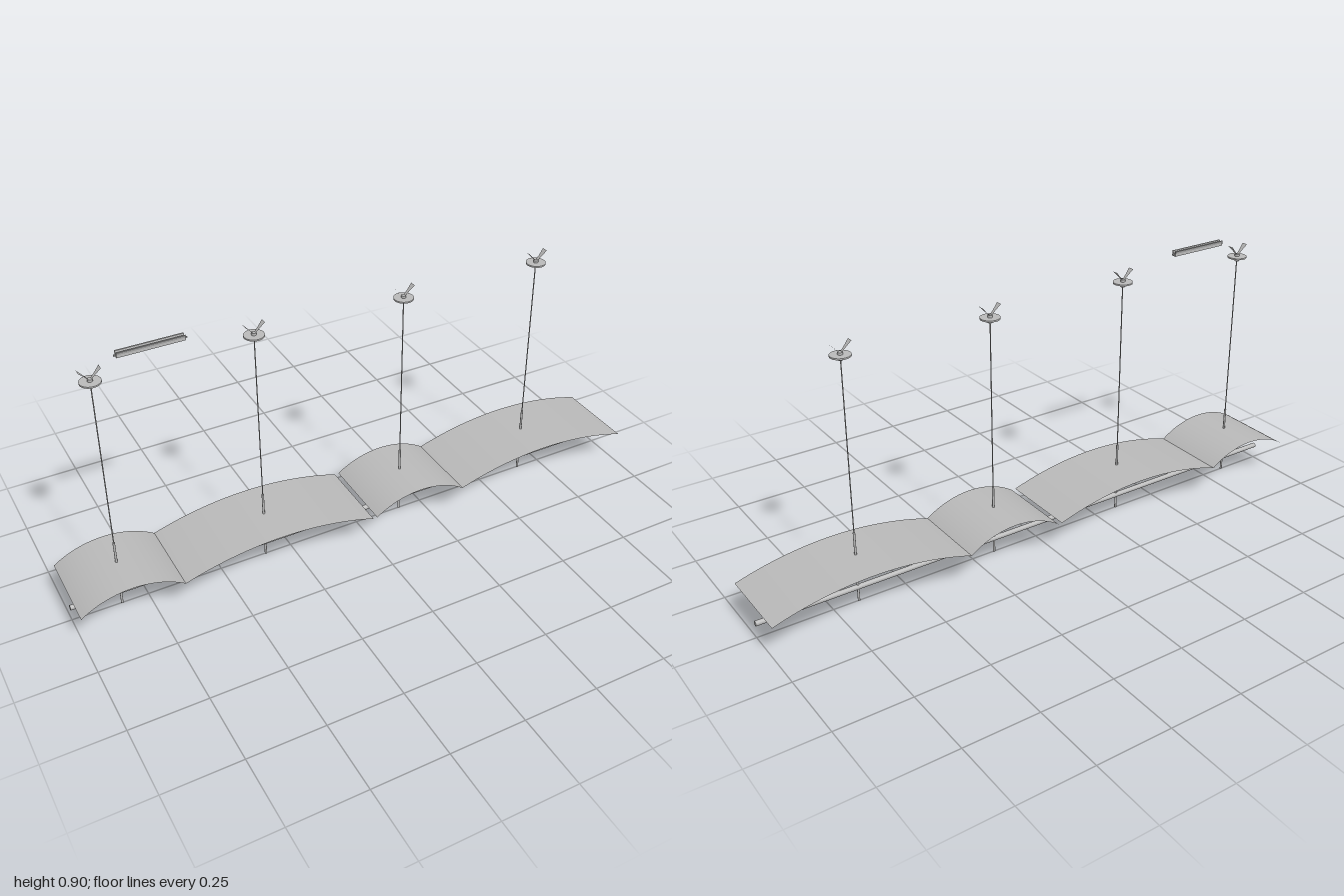
import * as THREE from 'three';

export function createModel() {
  const model = new THREE.Group();
  const metal = new THREE.MeshStandardMaterial({ color: 0xbababa });
  metal.name = 'brushed grey';
  metal.side = THREE.DoubleSide;

  function add(parent, name, geometry, x = 0, y = 0, z = 0) {
    const mesh = new THREE.Mesh(geometry, metal);
    mesh.name = name;
    mesh.position.set(x, y, z);
    parent.add(mesh);
    return mesh;
  }
  const cylinder = (r, h, sides = 16) => new THREE.CylinderGeometry(r, r, h, sides);

  // Open sheet bent into a shallow circular arc along x
  function archedSheet(x0, x1) {
    const low = 0.115, rise = 0.053, half = (x1 - x0) / 2;
    const radius = (half * half + rise * rise) / (2 * rise);
    const g = new THREE.PlaneGeometry(2 * half, 0.274, 32, 1);
    g.rotateX(-Math.PI / 2);
    const p = g.attributes.position;
    for (let i = 0; i < p.count; i++) {
      const x = p.getX(i);
      p.setY(i, low + rise - radius + Math.sqrt(radius * radius - x * x));
    }
    g.translate((x0 + x1) / 2, 0, 0);
    g.computeVertexNormals();
    return g;
  }
  [[-1, -0.668], [-0.668, -0.01], [0.004, 0.335], [0.335, 1]].forEach(
    ([a, b]) => add(model, 'archedPanel', archedSheet(a, b)));

  // Long rail under the panels
  add(model, 'rail', cylinder(0.0085, 2, 20).rotateZ(Math.PI / 2), 0, 0.05, 0);

  // Flared wing, drawn flat and then tilted outwards
  const wing = new THREE.Shape();
  wing.moveTo(0.004, -0.005);
  wing.lineTo(0.022, -0.006);
  wing.lineTo(0.048, -0.0105);
  wing.lineTo(0.048, 0.0105);
  wing.lineTo(0.022, 0.006);
  wing.lineTo(0.004, 0.005);
  const wingGeometry = new THREE.ShapeGeometry(wing).rotateX(-Math.PI / 2).rotateZ(0.83);

  // Hangers: rod, cable, ceiling disc and winged nut
  [[-0.837, 0], [-0.34, 0.009], [0.166, 0], [0.663, 0]].forEach(([x, lift]) => {
    const hanger = new THREE.Group();
    hanger.name = 'hanger';
    hanger.position.x = x;
    model.add(hanger);
    add(hanger, 'rod', cylinder(0.0038, 0.245), 0, 0.1225, 0);
    add(hanger, 'cable', cylinder(0.0018, 0.58 + lift, 8), 0, 0.53 + lift / 2, 0);
    add(hanger, 'hub', cylinder(0.0075, 0.014), 0, 0.817 + lift, 0);
    add(hanger, 'disc', cylinder(0.032, 0.005, 32), 0, 0.825 + lift, 0);
    add(hanger, 'nut', cylinder(0.008, 0.008), 0, 0.831 + lift, 0);
    for (const turn of [0, Math.PI])
      add(hanger, 'wing', wingGeometry, 0, 0.83 + lift, 0).rotation.y = turn;
  });

  // Loose channel bar with a notched top, running along x
  const section = new THREE.Shape();
  [[-0.007, 0], [0.007, 0], [0.007, 0.009], [0.01, 0.017], [0.005, 0.017],
    [0.003, 0.009], [-0.003, 0.009], [-0.005, 0.017], [-0.01, 0.017], [-0.007, 0.009]]
    .forEach(([u, v], i) => (i ? section.lineTo(u, v) : section.moveTo(u, v)));
  const channel = new THREE.ExtrudeGeometry(section, { depth: 0.205, bevelEnabled: false });
  channel.translate(0, 0, -0.1025).rotateY(Math.PI / 2);
  add(model, 'channelBar', channel, -0.654, 0.881, 0);
  add(model, 'channelCore', new THREE.BoxGeometry(0.218, 0.004, 0.005), -0.654, 0.887, 0);

  return model;
}
